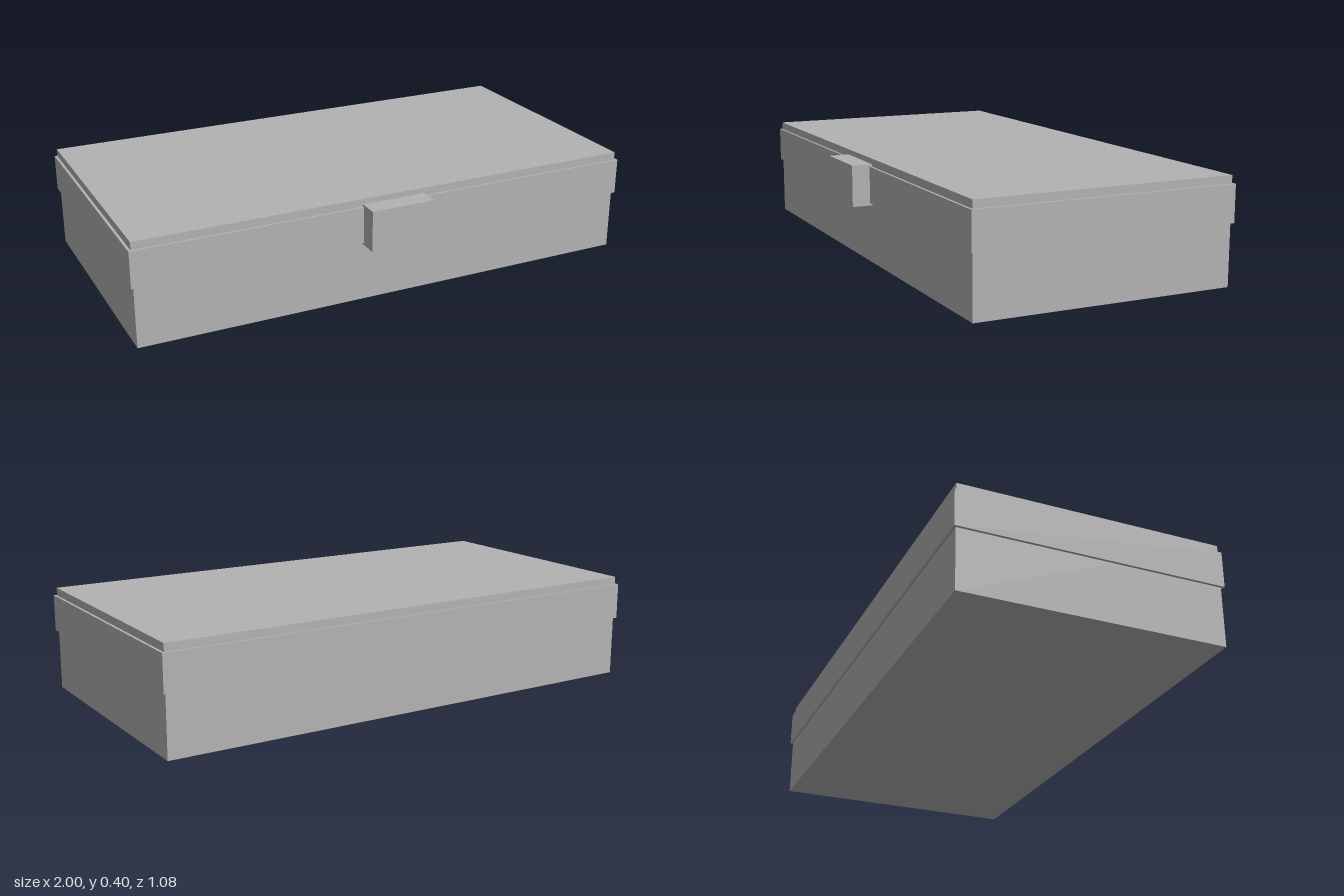
import * as THREE from 'three';

export function createModel() {
  const model = new THREE.Group();
  model.name = 'box';
  const grey = new THREE.MeshStandardMaterial({ color: 0xb2b2b2 });
  grey.name = 'grey';

  // Adds a block spanning the given ranges, symmetric in x
  function block(name, halfX, [y0, y1], [z0, z1]) {
    const mesh = new THREE.Mesh(new THREE.BoxGeometry(2 * halfX, y1 - y0, z1 - z0), grey);
    mesh.name = name;
    mesh.position.set(0, (y0 + y1) / 2, (z0 + z1) / 2);
    model.add(mesh);
  }

  // Main case
  block('body', 0.99, [0, 0.4], [-0.532, 0.463]);
  // Raised band around the lid
  block('lidBand', 1, [0.231, 0.37], [-0.541, 0.472]);
  // Front latch
  block('latch', 0.126, [0.222, 0.379], [0.46, 0.541]);

  return model;
}
